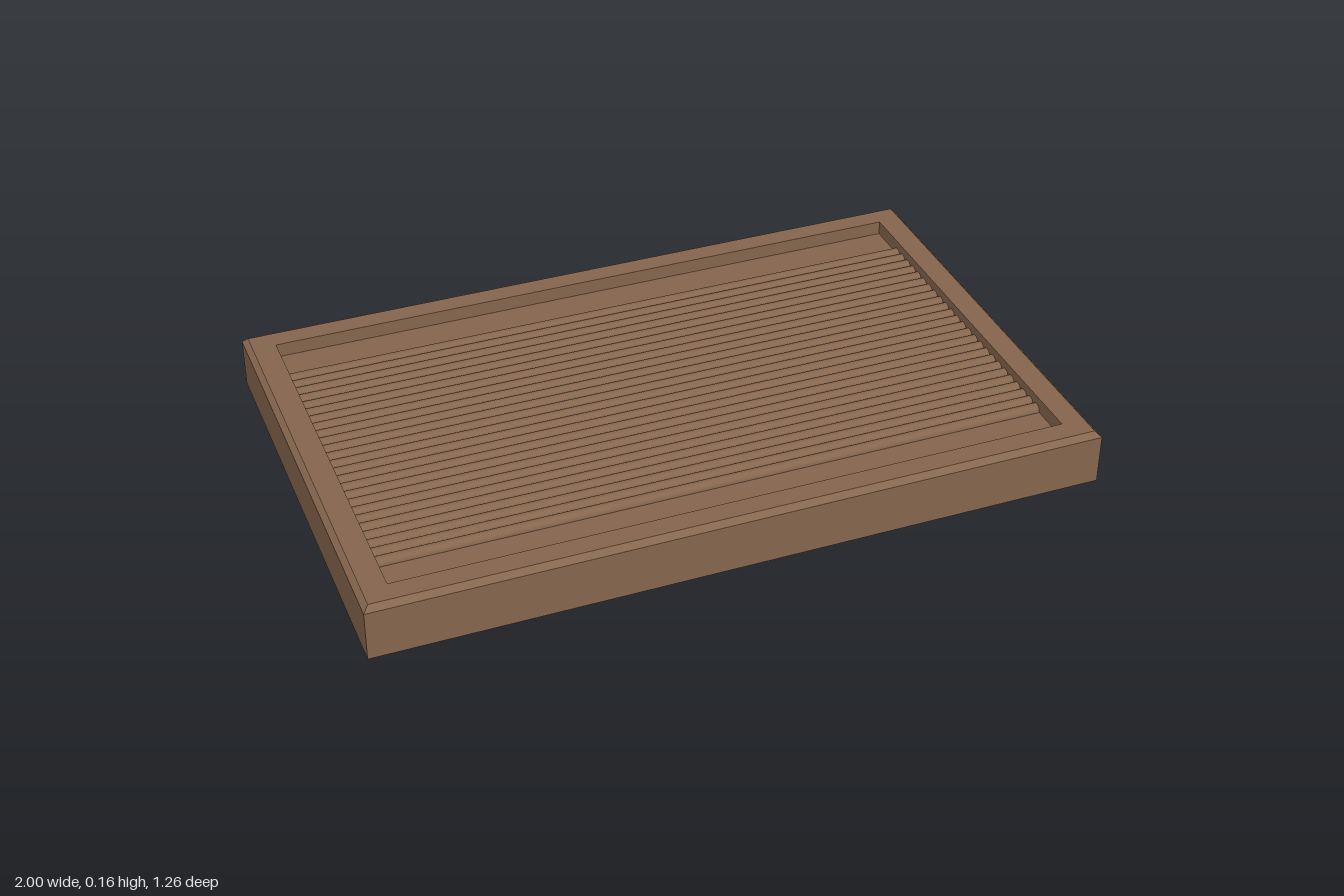
import * as THREE from 'three';

// Lofts rectangular rings [halfX, halfZ, y] into a closed, flat-shaded body
function loftRectangles(rings) {
  const corners = [[1, 1], [1, -1], [-1, -1], [-1, 1]];
  const positions = [];
  const index = [];
  for (const [hx, hz, y] of rings) {
    for (const [sx, sz] of corners) positions.push(sx * hx, y, sz * hz);
  }
  for (let r = 0; r < rings.length - 1; r++) {
    for (let k = 0; k < 4; k++) {
      const a = r * 4 + k;
      const b = r * 4 + (k + 1) % 4;
      index.push(a, b, b + 4, a, b + 4, a + 4);
    }
  }
  const t = (rings.length - 1) * 4;
  index.push(0, 2, 1, 0, 3, 2); // underside
  index.push(t, t + 1, t + 2, t, t + 2, t + 3); // recess floor
  const geometry = new THREE.BufferGeometry();
  geometry.setAttribute('position', new THREE.Float32BufferAttribute(positions, 3));
  geometry.setIndex(index);
  const flat = geometry.toNonIndexed();
  flat.computeVertexNormals();
  return flat;
}

export function createModel() {
  const wood = new THREE.MeshStandardMaterial({ color: 0x86664e });
  wood.name = 'brown wood';
  const group = new THREE.Group();
  group.name = 'ribbedTray';

  const floorY = 0.115;
  const innerX = 0.92;

  // Tray with a chamfered rim and a shallow recess
  const tray = new THREE.Mesh(loftRectangles([
    [1, 0.632, 0],
    [1, 0.632, 0.14],
    [0.985, 0.617, 0.155],
    [innerX, 0.558, 0.155],
    [innerX, 0.558, floorY],
  ]), wood);
  tray.name = 'tray';
  group.add(tray);

  // Half-round ribs running across the recess
  const count = 25;
  const pitch = 0.0357;
  const ribGeometry = new THREE.CylinderGeometry(
    pitch / 2, pitch / 2, innerX * 2, 12, 1, true, 0, Math.PI);
  ribGeometry.rotateZ(Math.PI / 2);
  const ribs = new THREE.Group();
  ribs.name = 'ribs';
  for (let i = 0; i < count; i++) {
    const rib = new THREE.Mesh(ribGeometry, wood);
    rib.name = 'rib';
    rib.position.set(0, floorY, -0.005 + (i - (count - 1) / 2) * pitch);
    ribs.add(rib);
  }
  group.add(ribs);

  return group;
}
